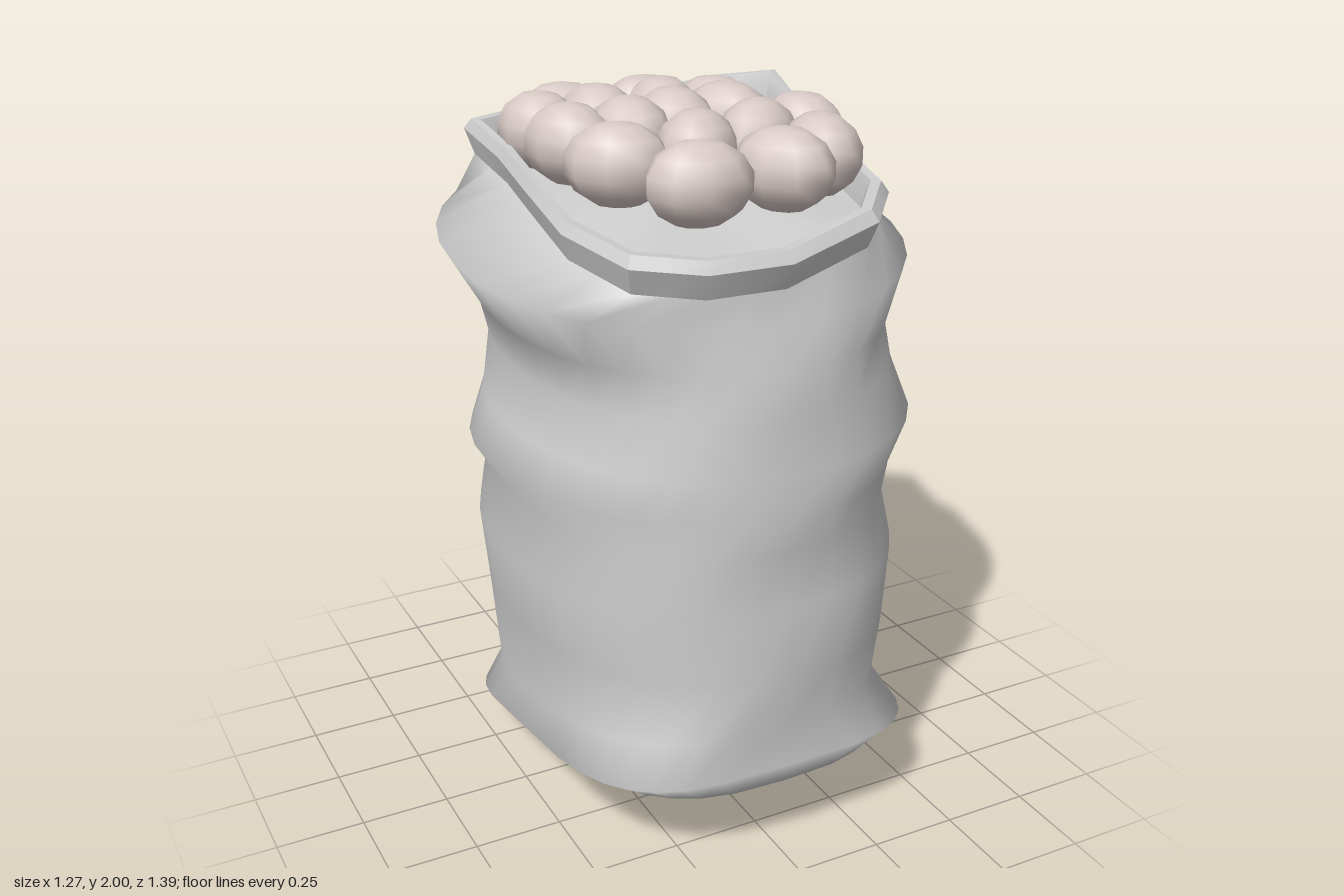
import * as THREE from 'three';
import { toCreasedNormals } from 'three/addons/utils/BufferGeometryUtils.js';

const N = 32;

// Skin a stack of closed cross-sections, each holding N points
function loft(rings) {
  const pos = [], index = [];
  rings.forEach(r => r.forEach(p => pos.push(...p)));
  for (let i = 0; i < rings.length - 1; i++) {
    for (let j = 0; j < N; j++) {
      const k = (j + 1) % N;
      const a = i * N + j, b = a + N, c = i * N + k, d = c + N;
      index.push(a, b, c, b, d, c);
    }
  }
  const g = new THREE.BufferGeometry();
  g.setAttribute('position', new THREE.Float32BufferAttribute(pos, 3));
  g.setIndex(index);
  g.computeVertexNormals();
  return g;
}

// Rounded-square section: y at front and back, reach to -x, +x, +z, -z, squareness
function section([yF, yB, xn, xp, zF, zB, p], row) {
  return Array.from({ length: N }, (_, j) => {
    const t = j / N * Math.PI * 2, c = Math.cos(t), s = Math.sin(t);
    const u = Math.sign(c) * Math.abs(c) ** (2 / p);
    const v = Math.sign(s) * Math.abs(s) ** (2 / p);
    const fold = row > 3 ? 1 + 0.014 * Math.sin(3 * t + row * 2.1) * s * s : 1;
    const y = THREE.MathUtils.lerp(yB, yF, v * 0.5 + 0.5);
    return [u * (u > 0 ? xp : xn) * fold, y, v * (v > 0 ? zF : zB) * fold];
  });
}

// Uneven mouth outline, from +x round by the front
const mouth = [
  [0.47, 1.84, 0], [0.46, 1.80, 0.2], [0.44, 1.78, 0.33], [0.30, 1.76, 0.5],
  [0.02, 1.71, 0.57], [-0.2, 1.71, 0.56], [-0.37, 1.73, 0.49], [-0.43, 1.76, 0.25],
  [-0.42, 1.81, 0], [-0.38, 1.83, -0.28], [-0.38, 1.86, -0.53], [-0.2, 1.87, -0.58],
  [0, 1.87, -0.59], [0.27, 1.89, -0.58], [0.33, 1.94, -0.42], [0.46, 1.97, -0.27],
];

// Mouth outline scaled inward or outward and shifted vertically
function mouthRing(scale, dy) {
  return Array.from({ length: N }, (_, j) => {
    const a = mouth[j >> 1], b = mouth[((j + 1) >> 1) % mouth.length];
    return [(a[0] + b[0]) / 2 * scale, (a[1] + b[1]) / 2 + dy, (a[2] + b[2]) / 2 * scale];
  });
}

export function createModel() {
  const group = new THREE.Group();
  const cloth = new THREE.MeshStandardMaterial({ color: 0xcccccc, side: THREE.DoubleSide });
  const skin = new THREE.MeshStandardMaterial({ color: 0xd8cac6 });
  const add = (name, geometry, material) => {
    const m = new THREE.Mesh(geometry, material);
    m.name = name;
    group.add(m);
    return m;
  };

  // Slumped sack with a tilted base, bulging corners and folds
  const profile = [
    [0.07, 0.07, 0, 0, 0, 0, 2],
    [0.17, 0.00, 0.28, 0.28, 0.46, 0.38, 2],
    [0.24, 0.05, 0.45, 0.45, 0.66, 0.47, 3],
    [0.31, 0.10, 0.52, 0.51, 0.69, 0.53, 3.8],
    [0.40, 0.20, 0.48, 0.48, 0.64, 0.56, 2.8],
    [0.58, 0.50, 0.51, 0.53, 0.70, 0.69, 2.2],
    [0.77, 0.77, 0.54, 0.57, 0.67, 0.68, 2.2],
    [0.94, 0.94, 0.50, 0.52, 0.66, 0.65, 2.3],
    [1.04, 1.04, 0.57, 0.56, 0.67, 0.64, 2.1],
    [1.15, 1.15, 0.52, 0.63, 0.67, 0.66, 2.1],
    [1.30, 1.30, 0.48, 0.56, 0.63, 0.66, 2.2],
    [1.42, 1.42, 0.51, 0.53, 0.62, 0.66, 2.2],
    [1.53, 1.70, 0.64, 0.63, 0.59, 0.65, 2.1],
  ];
  add('sack', loft([...profile.map(section), mouthRing(0.99, -0.1)]), cloth);

  // Folded cuff round the mouth
  const cuff = [[0.99, -0.1], [1.04, -0.03], [1.0, 0], [0.95, 0], [0.93, -0.03], [0.91, -0.1]];
  add('cuff', toCreasedNormals(loft(cuff.map(c => mouthRing(...c))), 0.5), cloth);

  // Cloth lining below the contents
  const centre = Array.from({ length: N }, () => [0, 1.78, 0]);
  add('lining', loft([mouthRing(0.92, -0.08), centre]), cloth);

  // Heaped potatoes: x, z, turn
  const heap = [
    [-0.12, -0.48, 1.3], [0.15, -0.5, 1.5], [-0.26, -0.31, 0.2], [-0.11, -0.25, 0.1],
    [0.10, -0.28, -0.3], [0.27, -0.28, 0.4], [-0.28, -0.06, 0.3], [-0.13, -0.01, 0],
    [0.02, -0.05, 0.1], [0.21, -0.1, 0.5], [0.36, 0.05, 0.2], [-0.26, 0.19, 0.9],
    [-0.04, 0.2, -0.5], [0.17, 0.14, -0.7], [0.28, 0.28, -0.3], [-0.14, 0.4, 1.4],
    [0.11, 0.38, 0.5],
  ];
  const ball = new THREE.SphereGeometry(1, 9, 7);
  heap.forEach(([x, z, turn], i) => {
    const m = add('potato' + (i + 1), ball, skin);
    m.position.set(x, 1.89 - 0.2 * (x * x + z * z), z);
    m.scale.set(0.11, 0.11, 0.142);
    m.rotation.y = turn;
  });
  return group;
}
